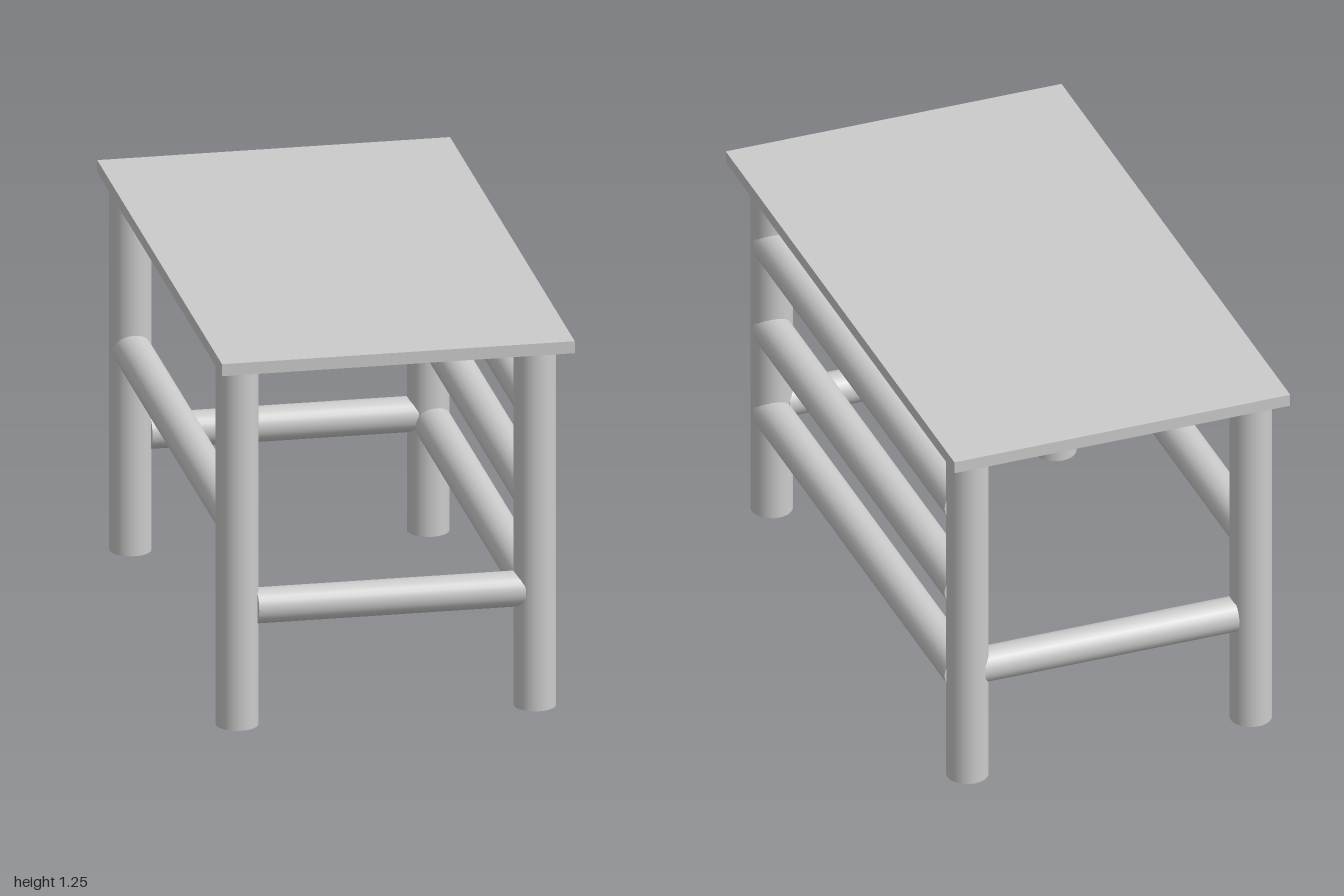
import * as THREE from 'three';

const material = new THREE.MeshStandardMaterial({ color: 0xcccccc });
const UP = new THREE.Vector3(0, 1, 0);

// Round bar running between two points
function bar(name, radius, from, to) {
  const a = new THREE.Vector3(...from);
  const b = new THREE.Vector3(...to);
  const dir = b.clone().sub(a);
  const mesh = new THREE.Mesh(new THREE.CylinderGeometry(radius, radius, dir.length(), 24), material);
  mesh.name = name;
  mesh.position.copy(a).add(b).multiplyScalar(0.5);
  mesh.quaternion.setFromUnitVectors(UP, dir.normalize());
  return mesh;
}

export function createModel() {
  const model = new THREE.Group();
  model.name = 'table';

  const legTop = 1.21, topThickness = 0.04;
  const leftX = 0.466, rightX = -0.488, legZ = 0.855;

  // Table top
  const top = new THREE.Mesh(new THREE.BoxGeometry(1.13, topThickness, 2), material);
  top.name = 'tableTop';
  top.position.y = legTop + topThickness / 2;
  model.add(top);

  for (const [end, z] of [['front', legZ], ['back', -legZ]]) {
    // Legs
    model.add(bar(end + 'LeftLeg', 0.067, [leftX, 0, z], [leftX, legTop, z]));
    model.add(bar(end + 'RightLeg', 0.067, [rightX, 0, z], [rightX, legTop, z]));
    // Low cross rail between the two legs of this end
    model.add(bar(end + 'CrossRail', 0.057, [-0.428, 0.39, z], [0.426, 0.39, z]));
  }

  // Three long rails on the left side
  [0.365, 0.672, 0.982].forEach((y, i) =>
    model.add(bar('leftRail' + (i + 1), 0.061, [0.476, y, -0.84], [0.476, y, 0.84])));

  // Single long rail on the right side
  model.add(bar('rightRail', 0.061, [rightX, 0.672, -0.84], [rightX, 0.672, 0.84]));

  return model;
}
